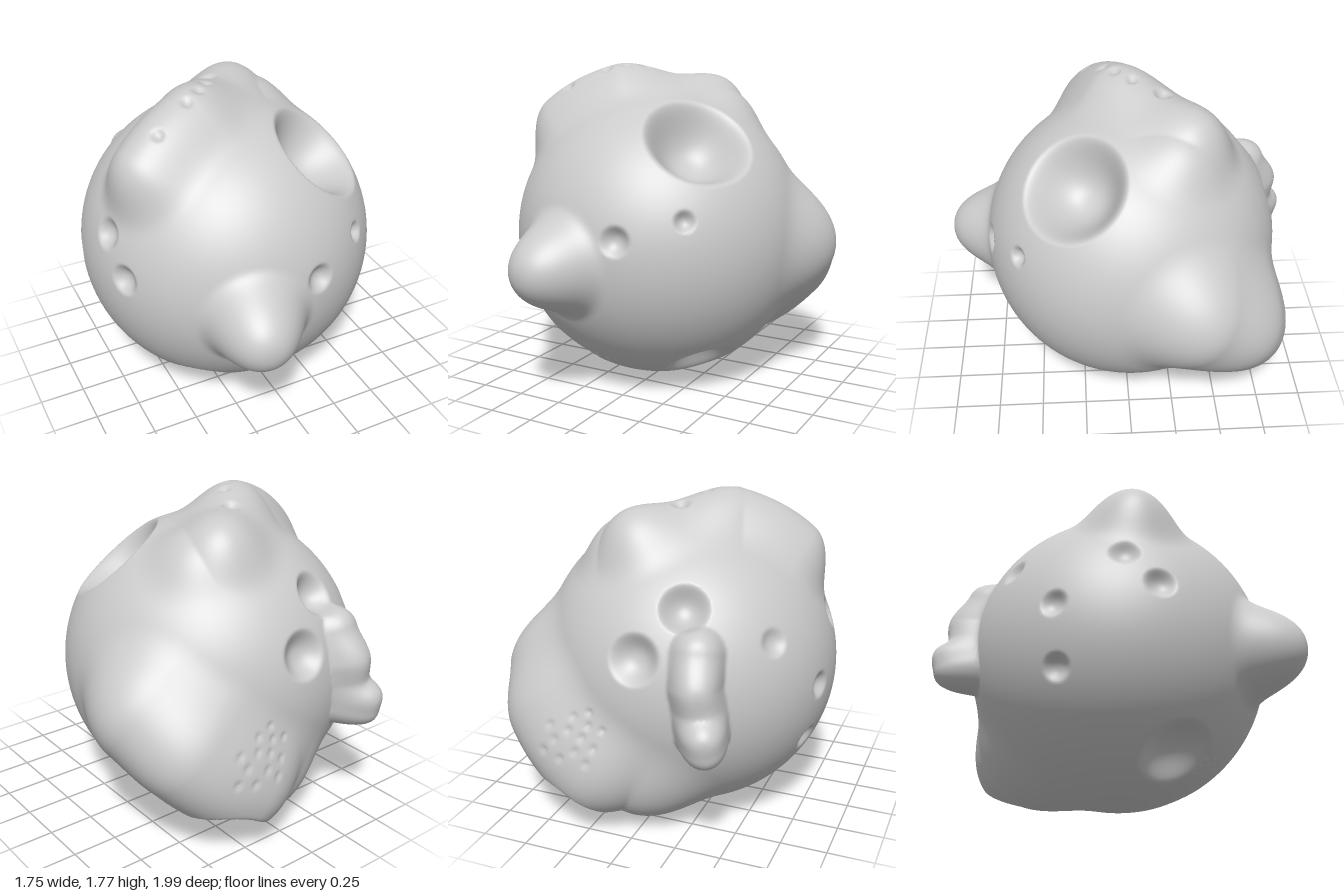
import * as THREE from 'three';
import { mergeVertices } from 'three/addons/utils/BufferGeometryUtils.js';

const CENTRE = new THREE.Vector3(-0.06, 0.81, -0.04);
const RADIUS = 0.815;
const dir = (x, y, z) => new THREE.Vector3(x, y, z).normalize();

// Raised chains: points are [x, y, z, height]; width is the reach across the surface,
// flat widens the top and skirt softens the foot
const chain = (width, flat, skirt, pts) => ({
  width, flat, skirt,
  pts: pts.map(([x, y, z, h]) => ({ d: dir(x, y, z), h })),
});
const ridges = [
  // front knob
  chain(0.34, 2.3, 2.8, [[-0.25, -0.08, 1.04, 0.255]]),
  // winding crest over the top
  chain(0.37, 2, 3, [[-0.6, 0.7, 0.2, 0.175], [-0.26, 0.93, 0.07, 0.165], [0.0, 0.86, -0.17, 0.09],
    [0.21, 0.87, -0.37, 0.145], [0.31, 0.78, -0.3, 0.09]]),
  // broad ridge wrapping the lower back
  chain(0.51, 2, 2.7, [[0.87, -0.08, -0.42, 0.2], [0.68, -0.26, -0.64, 0.26],
    [0.37, -0.58, -0.78, 0.265], [0.11, -0.67, -0.67, 0.15]]),
  // narrow lumpy horn on the back
  chain(0.14, 2.6, 1.3, [[-0.33, 0.31, -0.75, 0.1], [-0.37, 0.15, -0.88, 0.15],
    [-0.41, 0.04, -0.92, 0.135], [-0.44, -0.09, -0.95, 0.215], [-0.44, -0.16, -0.93, 0.21]]),
];

// Craters: direction, radius, depth
const craters = [
  [0.39, 0.565, 0.31, 0.31, 0.27],
  [-0.335, -0.66, 0.36, 0.21, 0.11],
  [0.37, -0.64, 0.24, 0.21, 0.11],
  [0.35, -0.56, -0.54, 0.19, 0.13],
  [0.0, 0.24, -0.77, 0.14, 0.08],
  [-0.21, 0.49, -0.63, 0.135, 0.1],
  [0.17, 0.11, 0.78, 0.085, 0.05],
  [0.47, 0.21, 0.61, 0.06, 0.04],
  [-0.73, 0.28, 0.16, 0.09, 0.05],
  [-0.73, 0.1, 0.34, 0.09, 0.05],
  [-0.59, 0.29, -0.43, 0.08, 0.03],
  [-0.79, 0.0, -0.18, 0.078, 0.04],
  [-0.76, -0.33, -0.18, 0.078, 0.04],
  // pits along the crest
  [-0.47, 0.83, 0.23, 0.034, 0.02],
  [-0.27, 0.93, 0.14, 0.034, 0.02],
  [-0.18, 0.96, 0.08, 0.034, 0.02],
  [-0.1, 0.97, -0.01, 0.034, 0.02],
  [-0.01, 0.9, -0.17, 0.05, 0.03],
].map(([x, y, z, r, depth]) => ({ d: dir(x, y, z), r, depth }));

// Clusters of tiny pits, spread in a sunflower pattern
function addPits(centre, count, spread, r, depth) {
  const side = new THREE.Vector3(0, 1, 0).cross(centre).normalize();
  const up = centre.clone().cross(side);
  for (let i = 0; i < count; i++) {
    const a = i * 2.4, s = spread * Math.sqrt((i + 0.4) / count);
    const d = centre.clone().addScaledVector(side, s * Math.cos(a))
      .addScaledVector(up, s * 0.8 * Math.sin(a)).normalize();
    craters.push({ d, r, depth });
  }
}
addPits(dir(0.31, -0.21, -0.86), 13, 0.2, 0.022, 0.011);
addPits(dir(-0.08, -0.64, 0.49), 10, 0.13, 0.017, 0.008);

const arc = (a, b) => RADIUS * Math.acos(THREE.MathUtils.clamp(a.dot(b), -1, 1));
const falloff = (t, flat, skirt) => (t < 1 ? Math.pow(1 - Math.pow(t, flat), skirt) : 0);
const ab = new THREE.Vector3(), ap = new THREE.Vector3(), near = new THREE.Vector3();

// Height of a chain at direction n: the strongest of its segments
function ridgeHeight(n, { pts, width, flat, skirt }) {
  let best = 0;
  for (let i = 0; i < Math.max(1, pts.length - 1); i++) {
    const a = pts[i], b = pts[Math.min(i + 1, pts.length - 1)];
    ab.subVectors(b.d, a.d);
    ap.subVectors(n, a.d);
    const t = THREE.MathUtils.clamp(ap.dot(ab) / (ab.lengthSq() || 1), 0, 1);
    near.copy(a.d).addScaledVector(ab, t).normalize();
    const h = a.h + (b.h - a.h) * t * t * (3 - 2 * t);
    best = Math.max(best, h * falloff(arc(n, near) / width, flat, skirt));
  }
  return best;
}

// Surface point: ridges push outward, craters sink along their own axis
function surfacePoint(n) {
  let r = RADIUS;
  for (const ridge of ridges) r += ridgeHeight(n, ridge);
  const p = n.clone().multiplyScalar(r);
  for (const c of craters) {
    p.addScaledVector(c.d, -c.depth * falloff(arc(n, c.d) / c.r, 2.4, 1.7));
  }
  return p.add(CENTRE);
}

export function createModel() {
  const group = new THREE.Group();
  group.name = 'crateredAsteroid';

  // Evenly divided sphere pushed in and out
  let geo = new THREE.IcosahedronGeometry(1, 80);
  geo.deleteAttribute('uv');
  geo.deleteAttribute('normal');
  geo = mergeVertices(geo, 1e-5);
  const pos = geo.attributes.position;
  const n = new THREE.Vector3();
  for (let i = 0; i < pos.count; i++) {
    const p = surfacePoint(n.fromBufferAttribute(pos, i).normalize());
    pos.setXYZ(i, p.x, p.y, p.z);
  }
  geo.computeVertexNormals();

  const rock = new THREE.Mesh(geo, new THREE.MeshStandardMaterial({ color: 0xcccccc }));
  rock.name = 'rockBody';
  group.add(rock);

  // Rest on the ground
  geo.computeBoundingBox();
  rock.position.y = -geo.boundingBox.min.y;
  return group;
}
